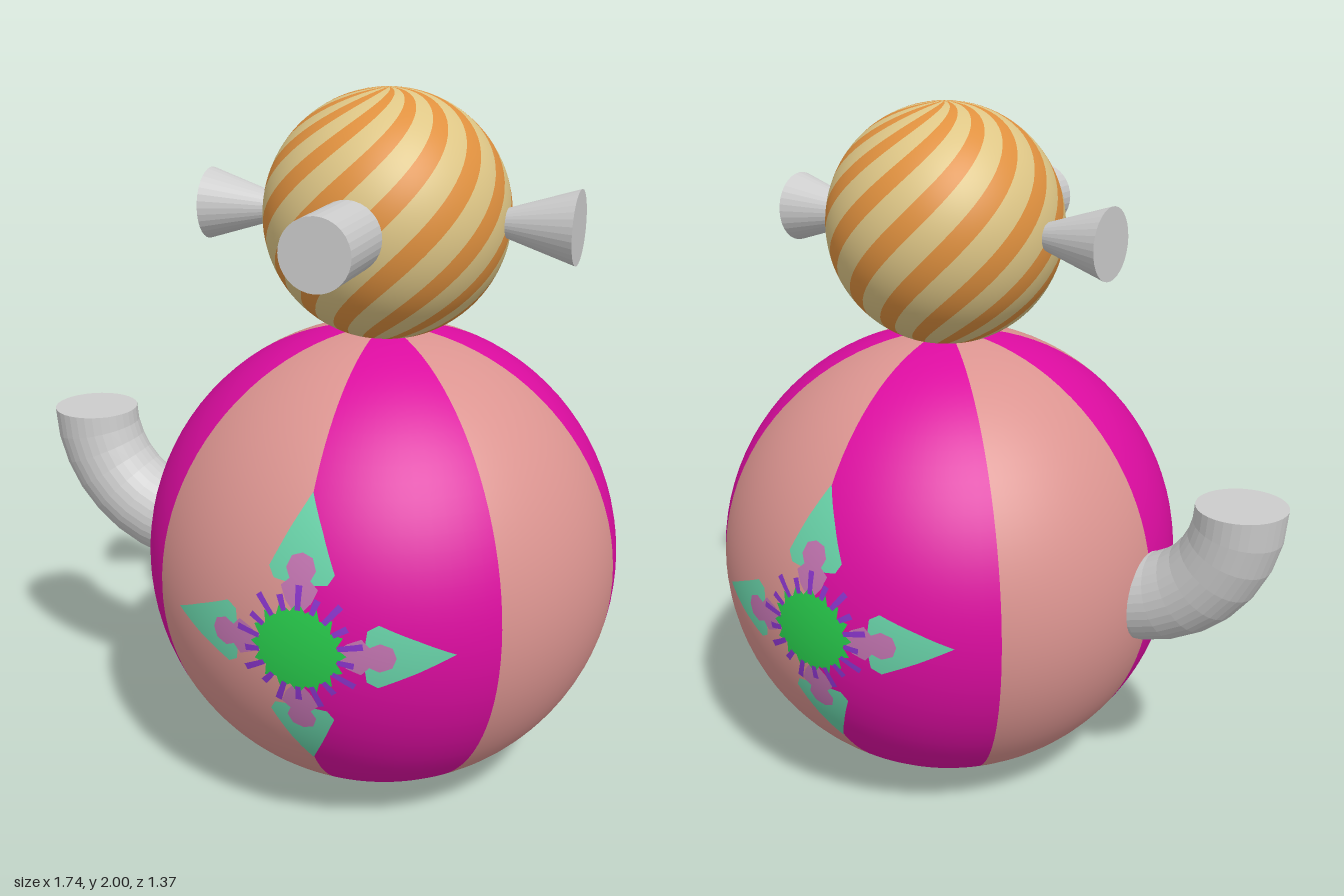
import * as THREE from 'three';
import { mergeGeometries } from 'three/addons/utils/BufferGeometryUtils.js';

const BODY_R = 0.678, HEAD_R = 0.338, CX = 0.19, BODY_Y = 0.679, HEAD_Y = 1.662;

const paint = (name, color) => {
  const m = new THREE.MeshStandardMaterial({ color });
  m.name = name;
  return m;
};

function addMesh(parent, name, geometry, material) {
  const mesh = new THREE.Mesh(geometry, material);
  mesh.name = name;
  parent.add(mesh);
  return mesh;
}

// Faceted normals without touching the material
function faceted(geometry) {
  const g = geometry.toNonIndexed();
  g.computeVertexNormals();
  return g;
}

// Wedge of a sphere whose meridians are twisted about the y axis
function sphereStripe(r, start, length, segs, twist = 0) {
  const g = new THREE.SphereGeometry(r, segs, 48, start, length);
  const p = g.attributes.position, v = new THREE.Vector3(), up = new THREE.Vector3(0, 1, 0);
  for (let i = 0; i < p.count; i++) {
    v.fromBufferAttribute(p, i);
    const theta = Math.acos(THREE.MathUtils.clamp(v.y / r, -1, 1));
    v.applyAxisAngle(up, -twist * theta);
    p.setXYZ(i, v.x, v.y, v.z);
    v.normalize();
    g.attributes.normal.setXYZ(i, v.x, v.y, v.z);
  }
  return g;
}

// Thin painted patch: an outline around a centre, turned by angle and laid on the body sphere
function decal(outline, center, angle, lift, rings = 6, split = 4) {
  const edge = [];
  outline.forEach(([x, y], i) => {
    const [nx, ny] = outline[(i + 1) % outline.length];
    for (let k = 0; k < split; k++) edge.push([x + (nx - x) * k / split, y + (ny - y) * k / split]);
  });
  const n = edge.length, pos = [], nor = [], idx = [], R = BODY_R + lift;
  const c = Math.cos(angle), s = Math.sin(angle);
  for (let j = 0; j <= rings; j++) {
    for (const [ex, ey] of edge) {
      const x = center + (ex - center) * j / rings, y = ey * j / rings;
      const u = x * c - y * s, v = x * s + y * c, w = Math.sqrt(R * R - u * u - v * v);
      pos.push(u, v, w);
      nor.push(u / R, v / R, w / R);
    }
  }
  for (let j = 0; j < rings; j++) {
    for (let i = 0; i < n; i++) {
      const a = j * n + i, b = j * n + (i + 1) % n;
      if (j > 0) idx.push(a, b + n, b);
      idx.push(a, a + n, b + n);
    }
  }
  const g = new THREE.BufferGeometry();
  g.setAttribute('position', new THREE.Float32BufferAttribute(pos, 3));
  g.setAttribute('normal', new THREE.Float32BufferAttribute(nor, 3));
  g.setIndex(idx);
  return g;
}

// Completes a half outline by mirroring it across its long axis
const mirrored = half => [...half, ...half.filter(p => p[1] > 0).reverse().map(([x, y]) => [x, -y])];

export function createModel() {
  const magenta = paint('magenta', 0xdc0ca0), pink = paint('dustyPink', 0xdb9490);
  const tan = paint('tan', 0xdec686), orange = paint('orange', 0xe0913f);
  const grey = paint('lightGrey', 0xcccccc), teal = paint('teal', 0x68d2a8);
  const green = paint('green', 0x28cc4c), purple = paint('purple', 0x8a35cc);
  const mauve = paint('mauve', 0xc274b0);

  const model = new THREE.Group();
  model.name = 'roundTeapotFigure';

  // Body: eight alternating wedges
  const body = new THREE.Group();
  body.name = 'body';
  body.position.set(CX, BODY_Y, 0);
  model.add(body);
  [magenta, pink].forEach((mat, k) => {
    const wedges = [];
    for (let i = k; i < 8; i += 2) wedges.push(sphereStripe(BODY_R, i * Math.PI / 4, Math.PI / 4, 12));
    addMesh(body, mat.name + 'Wedges', mergeGeometries(wedges), mat);
  });

  // Flower painted on the front and back of the body
  const arrow = mirrored([[0.385, 0], [0.3, 0.044], [0.205, 0.088], [0.178, 0.072], [0.17, 0]]);
  const bud = mirrored([[0.25, 0], [0.24, 0.028], [0.21, 0.04], [0.185, 0.028],
    [0.165, 0.05], [0.13, 0.035], [0.09, 0]]);
  const star = [];
  for (let i = 0; i < 32; i++) {
    const a = i * Math.PI / 16, r = i % 2 ? 0.105 : 0.13;
    star.push([r * Math.cos(a), r * Math.sin(a)]);
  }
  const quarter = [0, 1, 2, 3].map(i => i * Math.PI / 2);
  const spikes = [];
  for (let i = 0; i < 18; i++) {
    const end = i % 2 ? 0.15 : 0.172;
    const bar = [[end, -0.009], [end, 0.009], [0.108, 0.007], [0.108, -0.007]];
    spikes.push(decal(bar, 0.135, (i + 0.5) * Math.PI / 9, 0.005, 2, 2));
  }
  const layers = [
    ['petals', teal, mergeGeometries(quarter.map(a => decal(arrow, 0.24, a, 0.002)))],
    ['petalBuds', mauve, mergeGeometries(quarter.map(a => decal(bud, 0.18, a, 0.0035)))],
    ['flowerCentre', green, decal(star, 0, 0, 0.0045, 6, 1)],
    ['flowerSpikes', purple, mergeGeometries(spikes)],
  ];
  ['front', 'back'].forEach((side, k) => {
    const flower = new THREE.Group();
    flower.name = side + 'Flower';
    flower.rotation.y = k * Math.PI;
    layers.forEach(([name, mat, geo]) => addMesh(flower, name, geo, mat));
    body.add(flower);
  });

  // Head: twelve spiral stripes of each colour
  const head = new THREE.Group();
  head.name = 'head';
  head.position.set(CX, HEAD_Y, 0);
  model.add(head);
  const period = Math.PI / 6, wide = period * 0.55, first = THREE.MathUtils.degToRad(-1.5);
  [[orange, first, period - wide], [tan, first + period - wide, wide]].forEach(([mat, start, width]) => {
    const stripes = [];
    for (let i = 0; i < 12; i++) stripes.push(sphereStripe(HEAD_R, start + i * period, width, 4, 1));
    addMesh(head, mat.name + 'Swirls', mergeGeometries(stripes), mat);
  });

  // Snout
  const snout = new THREE.CylinderGeometry(0.094, 0.094, 0.3, 32);
  snout.rotateX(Math.PI / 2);
  addMesh(head, 'snout', faceted(snout), grey).position.z = 0.403;

  // Flared ears
  for (const side of [1, -1]) {
    const ear = new THREE.CylinderGeometry(0.1, 0.027, 0.23, 32);
    ear.rotateZ(-side * Math.PI / 2);
    addMesh(head, side > 0 ? 'leftEar' : 'rightEar', faceted(ear), grey).position.x = side * 0.408;
  }

  // Bent spout with a flat end
  const spout = new THREE.Group();
  spout.name = 'spout';
  spout.position.set(-0.403, 1.005, 0);
  model.add(spout);
  const bend = new THREE.TorusGeometry(0.342, 0.125, 32, 8, Math.PI / 2);
  bend.rotateZ(Math.PI);
  addMesh(spout, 'spoutPipe', faceted(bend), grey);
  const cap = new THREE.CircleGeometry(0.125, 32);
  cap.rotateX(-Math.PI / 2);
  addMesh(spout, 'spoutEnd', cap, grey).position.x = -0.342;

  return model;
}
